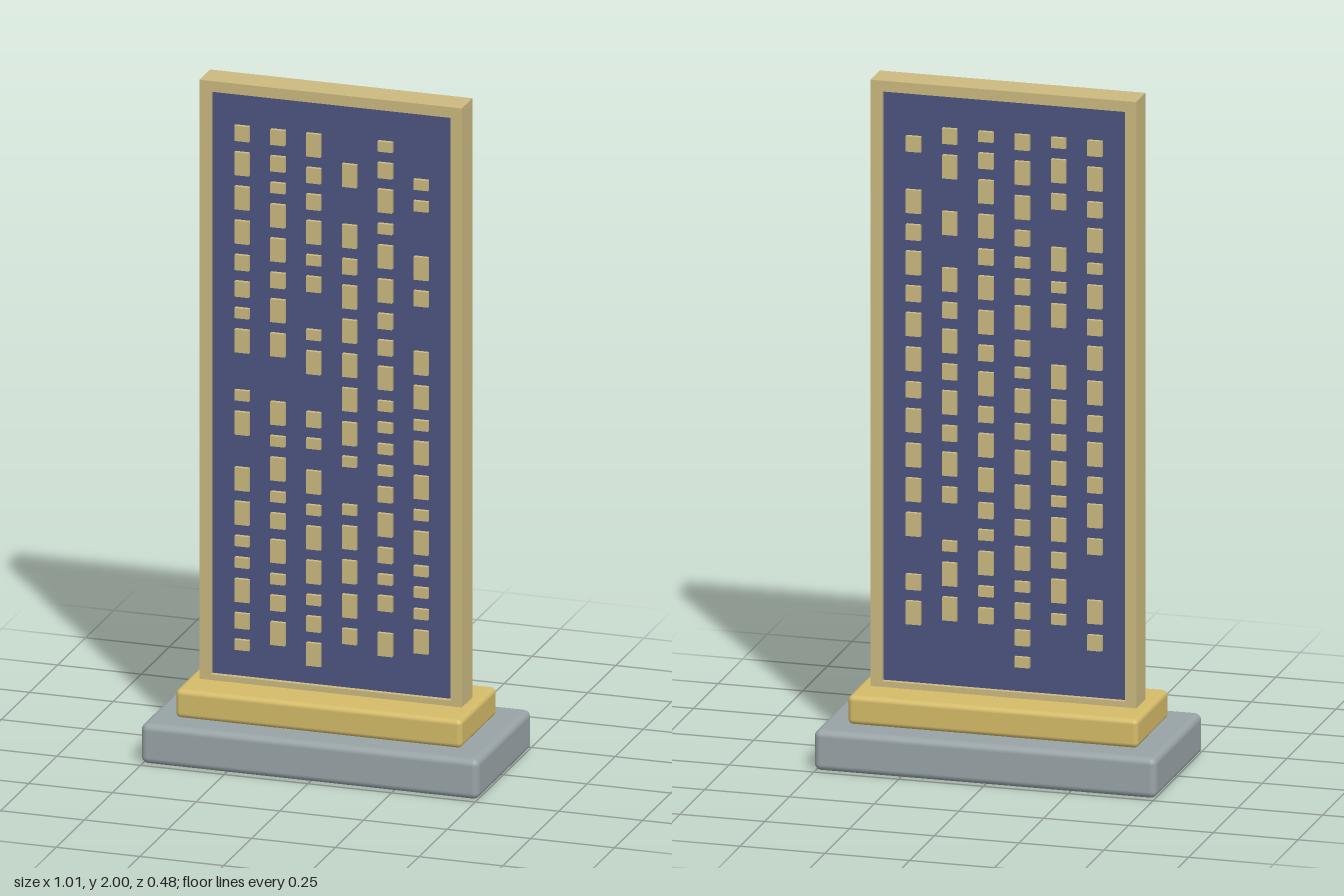
import * as THREE from 'three';
import { mergeGeometries } from 'three/addons/utils/BufferGeometryUtils.js';
import { RoundedBoxGeometry } from 'three/addons/geometries/RoundedBoxGeometry.js';

const material = (name, color) => {
  const m = new THREE.MeshStandardMaterial({ color });
  m.name = name;
  return m;
};

// Block columns from top to bottom: S, M, L are block sizes,
// lower case leaves the space empty, a dot is a short extra gap.
const FRONT = ['MLLLMMSLmSLsLLSSLMS', 'MMSLLMLLlLSLSMLSML', 'LMMLSMmSLmMS.LSLLSML',
  'mLmLMLLLLLSmSLLLM', 'SMLSLLMMLSSSSMLMSM.L', 'lSSlLMlLLSLLSLSSSL'];
const BACK = ['.MmLMLMLLMLLLLmML', 'MLsLsLMLMLMLMmSLL', 'SMLLMLLMLMLLMSLSM',
  'MLLMSMLMSLMLLMLSMMS', 'SLMmLSLmLLMLSLMLS', 'MLMLSLMLLMLMLMlLM'];
const HEIGHT = { S: 0.031, M: 0.046, L: 0.069 };
const GAP = 0.0335, COLUMN_STEP = 0.107, BLOCK_WIDTH = 0.043;
const HALF_DEPTH = 0.047, PANEL_HALF = 0.032, RELIEF = 0.012;

export function createModel() {
  const model = new THREE.Group();
  const sand = material('sand', 0xcbb980);
  const gold = material('gold', 0xd4bb68);
  const navy = material('navy', 0x4d5480);
  const grey = material('grey', 0x98a3a6);

  const add = (name, geometry, mat, parent = model) => {
    const mesh = new THREE.Mesh(geometry, mat);
    mesh.name = name;
    parent.add(mesh);
    return mesh;
  };

  // Two-step rounded foot
  add('base', new RoundedBoxGeometry(1.01, 0.12, 0.48, 4, 0.02), grey).position.y = 0.06;
  add('plinth', new RoundedBoxGeometry(0.856, 0.085, 0.318, 4, 0.015), gold).position.y = 0.1625;

  // Upright frame with a rectangular opening
  const rectangle = (Type, x, y0, y1) => new Type([
    new THREE.Vector2(-x, y0), new THREE.Vector2(x, y0),
    new THREE.Vector2(x, y1), new THREE.Vector2(-x, y1)]);
  const outline = rectangle(THREE.Shape, 0.392, 0.195, 2);
  outline.holes.push(rectangle(THREE.Path, 0.358, 0.222, 1.968));
  const frame = new THREE.ExtrudeGeometry(outline, { depth: HALF_DEPTH * 2, bevelEnabled: false });
  frame.translate(0, 0, -HALF_DEPTH);
  add('frame', frame, sand);

  // Recessed panel
  add('panel', new THREE.BoxGeometry(0.72, 1.75, PANEL_HALF * 2), navy).position.y = 1.095;

  // Raised block columns on one face
  const blockFace = (name, columns) => {
    const face = new THREE.Group();
    face.name = name;
    columns.forEach((column, i) => {
      const blocks = [];
      let top = 1.873;
      for (const c of column) {
        if (c === '.') { top -= 0.032; continue; }
        const h = HEIGHT[c.toUpperCase()];
        if (c !== c.toLowerCase()) {
          blocks.push(new THREE.BoxGeometry(BLOCK_WIDTH, h, RELIEF)
            .translate((i - 2.5) * COLUMN_STEP, top - h / 2, PANEL_HALF + RELIEF / 2));
        }
        top -= h + GAP;
      }
      add('blockColumn', mergeGeometries(blocks), sand, face);
    });
    model.add(face);
    return face;
  };
  blockFace('frontBlocks', FRONT);
  blockFace('backBlocks', BACK).rotation.y = Math.PI;

  return model;
}
